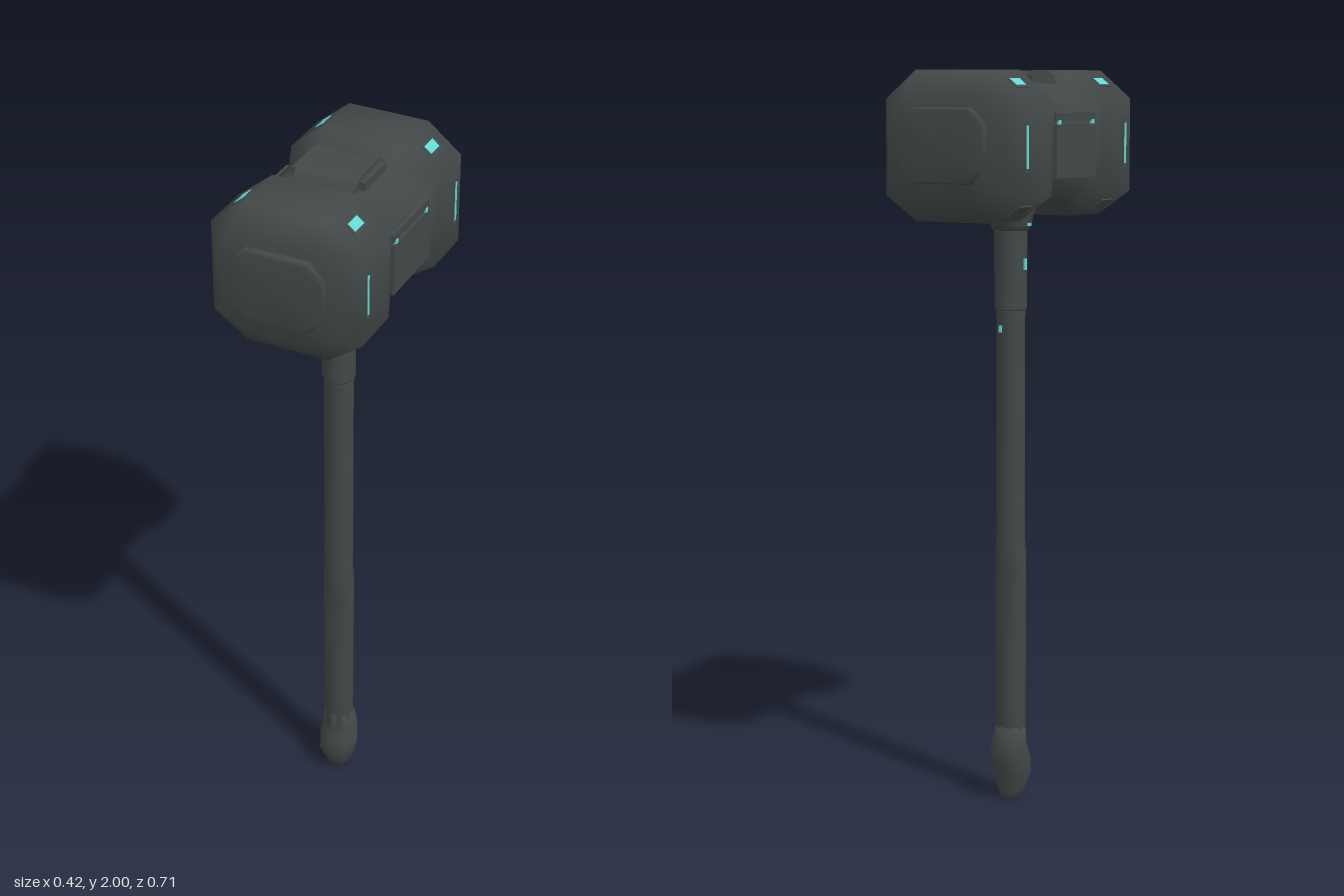
import * as THREE from 'three';

const iron = new THREE.MeshStandardMaterial({ color: 0x424948 });
iron.name = 'dark iron';
const glow = new THREE.MeshStandardMaterial({ color: 0x66d6d2 });
glow.name = 'cyan light';

// Closed smooth skin over a list of equal-length rings
function loft(rings) {
  const n = rings[0].length, pos = rings.flat(2), idx = [];
  for (let r = 0; r < rings.length - 1; r++) {
    for (let i = 0; i < n; i++) {
      const a = r * n + i, b = r * n + (i + 1) % n;
      idx.push(a, b, b + n, a, b + n, a + n);
    }
  }
  const last = (rings.length - 1) * n;
  for (const ring of [rings[0], rings[rings.length - 1]]) {
    for (let k = 0; k < 3; k++) pos.push(ring.reduce((s, p) => s + p[k], 0) / n);
  }
  const c = rings.length * n;
  for (let i = 0; i < n; i++) {
    const j = (i + 1) % n;
    idx.push(c, j, i, c + 1, last + i, last + j);
  }
  const g = new THREE.BufferGeometry();
  g.setAttribute('position', new THREE.Float32BufferAttribute(pos, 3));
  g.setIndex(idx);
  g.computeVertexNormals();
  return g;
}

// Octagon across z: half width, half width of flat, then four heights
const octagon = (z, hx, fx, y0, y1, y2, y3) => [
  [hx, y1, z], [hx, y2, z], [fx, y3, z], [-fx, y3, z],
  [-hx, y2, z], [-hx, y1, z], [-fx, y0, z], [fx, y0, z]];

// Upright ring: height, x radius, z radius, z shift, dent on the front and back
function ring(y, rx, rz, shift = 0, dent = 0, sides = 12) {
  return Array.from({ length: sides }, (_, i) => {
    const a = i / sides * Math.PI * 2, s = Math.sin(a);
    return [Math.cos(a) * rx, y, -s * (rz - (Math.abs(s) > 0.99 ? dent : 0)) + shift];
  });
}

export function createModel() {
  const model = new THREE.Group();
  const add = (name, geo, mat = iron, x = 0, y = 0, z = 0, rz = 0) => {
    const m = new THREE.Mesh(geo, mat);
    m.name = name;
    m.position.set(x, y, z);
    m.rotation.z = rz;
    model.add(m);
    return m;
  };
  const box = (w, h, d) => new THREE.BoxGeometry(w, h, d);

  // Head: two bevelled blocks joined by a narrower waist
  const half = [
    [0.33, 0.168, 0.09, 1.66, 1.70, 1.875, 1.925],
    [0.29, 0.205, 0.112, 1.61, 1.675, 1.925, 2.0],
    [0.14, 0.205, 0.112, 1.61, 1.675, 1.925, 2.0],
    [0.10, 0.192, 0.10, 1.65, 1.72, 1.89, 1.965]];
  const stations = [...half.map(([z, ...r]) => [-z, ...r]), ...half.slice().reverse()];
  add('hammerHead', loft(stations.map(s => octagon(...s))));

  // Striking plates on both ends
  const plate = loft([
    octagon(0.30, 0.127, 0.085, 1.71, 1.752, 1.863, 1.905),
    octagon(0.342, 0.127, 0.085, 1.71, 1.752, 1.863, 1.905),
    octagon(0.353, 0.12, 0.08, 1.717, 1.757, 1.858, 1.898)]);
  add('frontStrikingPlate', plate);
  add('backStrikingPlate', plate).rotation.y = Math.PI;

  // Rounded crown on top of the waist
  const arch = new THREE.Shape([[-0.09, 1.94], [0.09, 1.94], [0.09, 1.968], [0.075, 1.988],
    [0.05, 1.999], [-0.05, 1.999], [-0.075, 1.988], [-0.09, 1.968]]
    .map(p => new THREE.Vector2(...p)));
  const crown = new THREE.ExtrudeGeometry(arch, { depth: 0.17, bevelEnabled: false });
  crown.translate(0, 0, -0.085).rotateY(Math.PI / 2);
  add('crown', crown);

  for (const s of [-1, 1]) {
    add('crownBracket', box(0.016, 0.05, 0.12), iron, s * 0.093, 1.962, 0);
    // Raised side panel with an upper seam
    add('sidePanel', box(0.02, 0.14, 0.21), iron, s * 0.193, 1.79, 0);
    add('sidePanelRail', box(0.02, 0.022, 0.21), iron, s * 0.191, 1.878, 0);
    for (const t of [-1, 1]) {
      add('panelLight', box(0.006, 0.012, 0.012), glow, s * 0.2, 1.865, t * 0.088);
      // Slots, corner lights and lower corner covers of each block
      add('slotFrame', box(0.004, 0.13, 0.024), iron, s * 0.2045, 1.805, t * 0.26);
      add('slotLight', box(0.004, 0.11, 0.009), glow, s * 0.206, 1.805, t * 0.26);
      add('cornerFrame', box(0.04, 0.005, 0.062), iron, s * 0.152, 1.967, t * 0.22, -s * 0.675);
      add('cornerLight', box(0.026, 0.007, 0.048), glow, s * 0.152, 1.968, t * 0.22, -s * 0.675);
      add('lowerCornerCover', box(0.04, 0.006, 0.062), iron, s * 0.159, 1.642, t * 0.22, s * 0.61);
    }
  }

  // Flared neck and sleeve under the head
  add('neck', loft([ring(1.575, 0.05, 0.045), ring(1.59, 0.058, 0.05),
    ring(1.615, 0.06, 0.065), ring(1.66, 0.075, 0.092)]));
  add('sleeve', loft([ring(1.36, 0.042, 0.04), ring(1.365, 0.045, 0.043),
    ring(1.57, 0.045, 0.043), ring(1.585, 0.045, 0.043)]));
  for (const s of [-1, 1]) {
    add('sleeveLight', box(0.006, 0.03, 0.01), glow, s * 0.0445, 1.485, 0);
    add('neckLight', box(0.006, 0.008, 0.016), glow, s * 0.0575, 1.592, 0);
  }
  add('shaftLight', box(0.008, 0.018, 0.006), glow, 0.012, 1.31, -0.035);

  // Shaft with a grip hollow on the front and back
  add('shaft', loft([
    ring(0.14, 0.043, 0.038), ring(0.36, 0.043, 0.037), ring(0.5, 0.044, 0.036, 0, 0.007),
    ring(0.64, 0.044, 0.037, 0, 0.012), ring(0.69, 0.043, 0.039), ring(0.73, 0.041, 0.036),
    ring(1.34, 0.041, 0.034), ring(1.4, 0.041, 0.034)]));

  // Slanted faceted pommel
  add('pommel', loft([
    ring(0, 0.026, 0.026, 0, 0, 8), ring(0.025, 0.04, 0.036, 0.003, 0, 8),
    ring(0.07, 0.056, 0.052, 0.009, 0, 8), ring(0.11, 0.06, 0.054, -0.001, 0, 8),
    ring(0.155, 0.052, 0.049, -0.01, 0, 8), ring(0.205, 0.044, 0.039, 0, 0, 8)]));

  return model;
}
